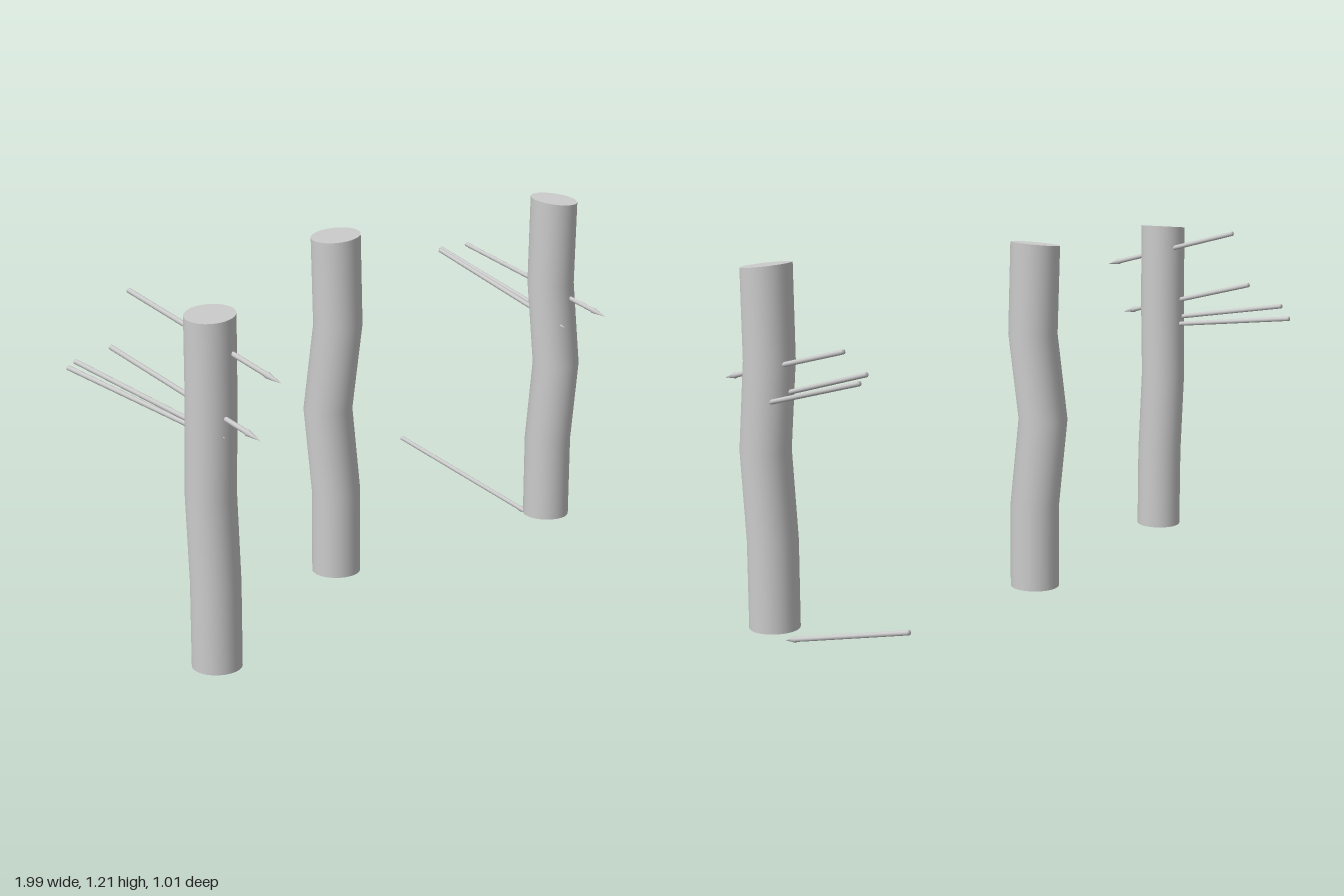
import * as THREE from 'three';

const material = new THREE.MeshStandardMaterial({ color: 0xcccccc });

// Crooked post: rings follow a bent centre line, the top is cut at a slant
function makePost(name, radius, rings, slopeX, slopeZ) {
  const last = rings.length - 1;
  const geometry = new THREE.CylinderGeometry(radius, radius, last, 32, last);
  const p = geometry.attributes.position;
  for (let i = 0; i < p.count; i++) {
    const k = Math.round(p.getY(i) + last / 2);
    const [cx, cy, cz] = rings[k];
    const x = p.getX(i), z = p.getZ(i);
    const slant = k === last ? slopeX * x + slopeZ * z : 0;
    p.setXYZ(i, cx + x, cy + slant, cz + z);
  }
  const mesh = new THREE.Mesh(geometry, material);
  mesh.name = name;
  return mesh;
}

// Arrow: thin shaft with a slender pointed head, from tail to tip
function makeArrow(name, tail, tip) {
  const a = new THREE.Vector3(...tail), b = new THREE.Vector3(...tip);
  const length = a.distanceTo(b);
  const profile = [[0, 0], [0.008, 0], [0.008, length - 0.065], [0.0105, length - 0.055], [0, length]]
    .map(([r, y]) => new THREE.Vector2(r, y));
  const mesh = new THREE.Mesh(new THREE.LatheGeometry(profile, 10), material);
  mesh.position.copy(a);
  mesh.quaternion.setFromUnitVectors(new THREE.Vector3(0, 1, 0), b.sub(a).normalize());
  mesh.name = name;
  return mesh;
}

export function createModel() {
  const group = new THREE.Group();

  // Three posts standing in a row
  group.add(
    makePost('rightPost', 0.078, [
      [-0.893, 0.043, 0.243], [-0.893, 0.32, 0.243], [-0.917, 0.61, 0.253],
      [-0.893, 0.89, 0.238], [-0.895, 1.155, 0.241]], 0.12, -0.06),
    makePost('middlePost', 0.082, [
      [-0.026, 0.032, -0.028], [-0.026, 0.32, -0.028], [-0.044, 0.61, -0.048],
      [-0.018, 0.9, -0.026], [-0.026, 1.2, -0.028]], 0.12, 0),
    makePost('leftPost', 0.082, [
      [0.908, 0.032, 0.176], [0.908, 0.32, 0.176], [0.908, 0.61, 0.203],
      [0.908, 0.9, 0.171], [0.908, 1.2, 0.176]], -0.04, -0.12)
  );

  // Arrows stuck in the outer posts: [tail, tip]
  const arrows = {
    rightArrow: [
      [[-0.880, 1.165, -0.115], [-0.877, 0.990, 0.505]],
      [[-0.914, 0.985, -0.165], [-0.910, 0.813, 0.455]],
      [[-0.925, 0.887, -0.348], [-0.912, 0.785, 0.280]],
      [[-0.945, 0.922, -0.293], [-0.925, 0.798, 0.325]],
    ],
    leftArrow: [
      [[0.908, 0.980, -0.210], [0.912, 0.811, 0.408]],
      [[0.927, 0.933, -0.345], [0.861, 0.757, 0.273]],
      [[0.990, 0.922, -0.393], [0.934, 0.750, 0.225]],
      [[0.906, 0.175, -0.505], [0.912, 0.003, 0.115]],
    ],
  };
  for (const [name, list] of Object.entries(arrows)) {
    list.forEach(([tail, tip], i) => group.add(makeArrow(name + (i + 1), tail, tip)));
  }
  return group;
}
